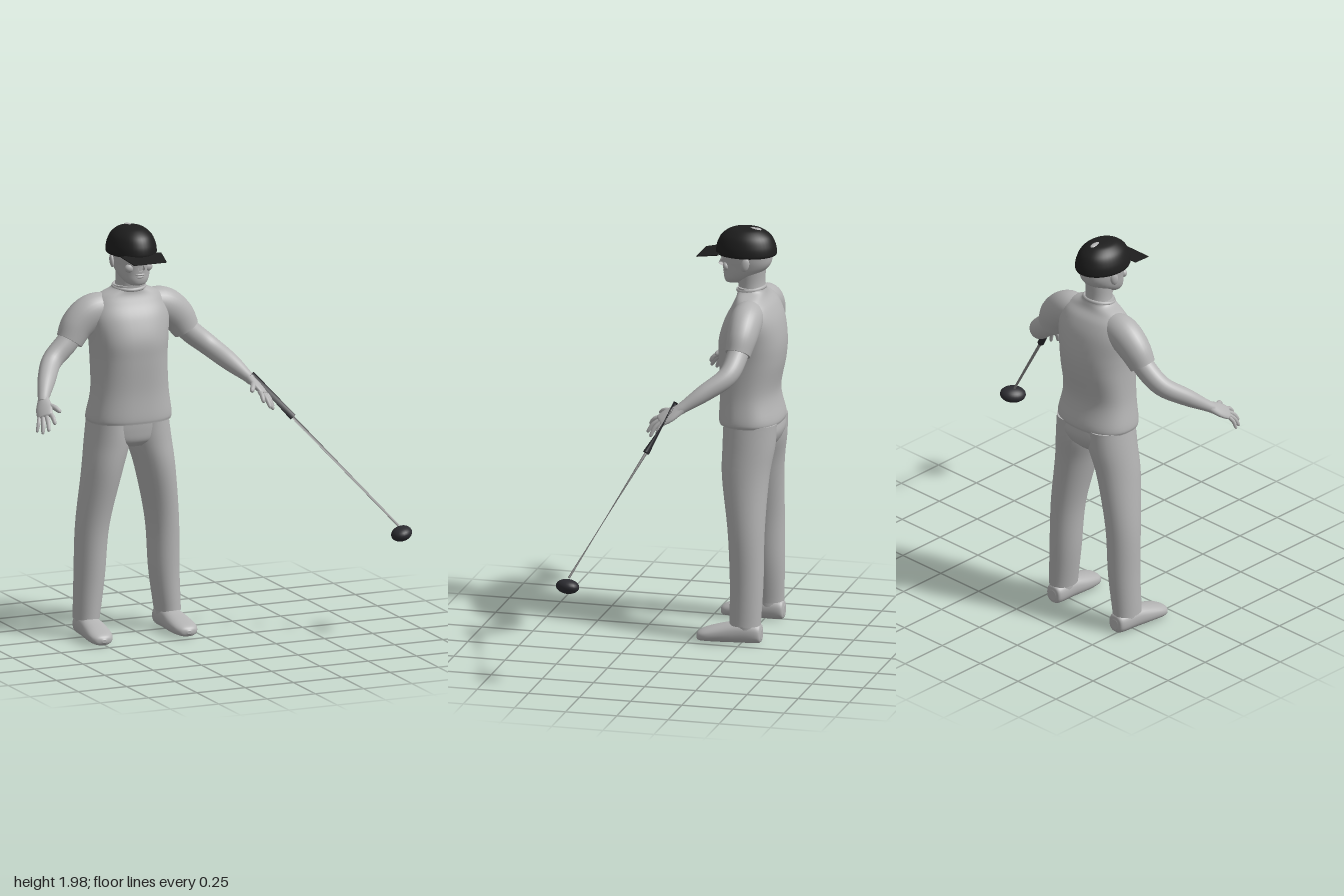
import * as THREE from 'three';

const mat = (name, color) => {
  const m = new THREE.MeshStandardMaterial({ color });
  m.name = name;
  return m;
};
const V = (a) => new THREE.Vector3(a[0], a[1], a[2]);

// Smooth loft through sections [x, y, z, radiusA, radiusB].
// ref is the direction of radiusA; axis fixes the ring normal (else the path tangent is used);
// e below 1 makes the rings boxier.
function loft(sections, { ref = [1, 0, 0], axis = null, e = 1, sides = 28, steps = 6 } = {}) {
  const path = new THREE.CatmullRomCurve3(sections.map(V), false, 'catmullrom');
  const radii = new THREE.CatmullRomCurve3(
    sections.map((s) => new THREE.Vector3(s[3], s[4], 0)), false, 'catmullrom');
  const n = (sections.length - 1) * steps;
  const pos = [], idx = [];
  const bend = (v) => Math.sign(v) * Math.abs(v) ** e;
  const ring = (t) => {
    const c = path.getPoint(t), r = radii.getPoint(t);
    const T = axis ? V(axis) : path.getTangent(t);
    const A = V(ref).addScaledVector(T, -V(ref).dot(T)).normalize();
    const B = A.clone().cross(T);
    for (let i = 0; i < sides; i++) {
      const a = (i / sides) * Math.PI * 2;
      const p = c.clone().addScaledVector(A, r.x * bend(Math.cos(a)))
        .addScaledVector(B, r.y * bend(Math.sin(a)));
      pos.push(p.x, p.y, p.z);
    }
    return c;
  };
  for (let j = 0; j <= n; j++) ring(j / n);
  for (let j = 0; j < n; j++) for (let i = 0; i < sides; i++) {
    const a = j * sides + i, b = j * sides + (i + 1) % sides;
    idx.push(a, a + sides, b, b, a + sides, b + sides);
  }
  // flat end caps with their own vertices
  for (const t of [0, 1]) {
    const first = pos.length / 3, c = ring(t), centre = pos.length / 3;
    pos.push(c.x, c.y, c.z);
    for (let i = 0; i < sides; i++) {
      const a = first + i, b = first + (i + 1) % sides;
      if (t) idx.push(centre, b, a); else idx.push(centre, a, b);
    }
  }
  const g = new THREE.BufferGeometry();
  g.setAttribute('position', new THREE.Float32BufferAttribute(pos, 3));
  g.setIndex(idx);
  g.computeVertexNormals();
  return g;
}

export function createModel() {
  const root = new THREE.Group();
  root.name = 'golfer';
  const figure = new THREE.Group();
  figure.name = 'figure';
  figure.position.x = -0.29;
  root.add(figure);

  const clay = mat('pale grey', 0xb4b4b4);
  const black = mat('cap black', 0x1e1e1e);
  const dark = mat('club dark grey', 0x2c2c31);
  const steel = mat('shaft grey', 0x8e8e8e);

  const add = (name, geo, material = clay, parent = figure) => {
    const m = new THREE.Mesh(geo, material);
    m.name = name;
    parent.add(m);
    return m;
  };
  const blob = (name, p, r, material = clay, parent = figure) => {
    const m = add(name, new THREE.SphereGeometry(1, 24, 16), material, parent);
    m.position.set(...p);
    m.scale.set(...r);
    return m;
  };
  const up = { axis: [0, 1, 0] };
  // centred upright sections given as [y, z, radiusX, radiusZ]
  const upright = (rows, opt = {}) =>
    loft(rows.map(([y, z, a, b]) => [0, y, z, a, b]), { ...up, sides: 40, ...opt });

  // shirt
  add('shirt', upright([
    [1.05, -0.245, 0.203, 0.147], [1.08, -0.245, 0.207, 0.15], [1.2, -0.235, 0.188, 0.136],
    [1.35, -0.245, 0.184, 0.153], [1.45, -0.248, 0.19, 0.156], [1.55, -0.255, 0.2, 0.133],
    [1.62, -0.258, 0.185, 0.1], [1.66, -0.25, 0.15, 0.074], [1.688, -0.245, 0.088, 0.066],
    [1.705, -0.242, 0.078, 0.064]], { e: 0.85 }));
  const collar = add('collar', new THREE.TorusGeometry(0.076, 0.009, 8, 40));
  collar.rotation.x = Math.PI / 2 + 0.15;
  collar.scale.y = 0.86;
  collar.position.set(0, 1.695, -0.24);

  // trousers top
  add('pelvis', upright([
    [0.93, -0.255, 0.1, 0.09], [0.96, -0.256, 0.17, 0.118],
    [1.01, -0.262, 0.199, 0.132], [1.07, -0.258, 0.197, 0.13]], { e: 0.9 }));

  // neck and head
  add('neck', upright([
    [1.65, -0.25, 0.075, 0.065], [1.72, -0.24, 0.064, 0.064], [1.8, -0.235, 0.066, 0.075]]));
  add('head', upright([
    [1.716, -0.15, 0.018, 0.018], [1.724, -0.155, 0.042, 0.04], [1.745, -0.175, 0.063, 0.067],
    [1.775, -0.2, 0.077, 0.093], [1.81, -0.216, 0.085, 0.112], [1.85, -0.22, 0.091, 0.12],
    [1.91, -0.22, 0.092, 0.12], [1.96, -0.22, 0.06, 0.08]], { e: 0.93 }));
  add('nose', loft([
    [0, 1.85, -0.108, 0.009, 0.01], [0, 1.82, -0.1, 0.012, 0.014],
    [0, 1.803, -0.094, 0.017, 0.015], [0, 1.793, -0.104, 0.012, 0.009]], { ...up, sides: 14 }));
  blob('upperLip', [0, 1.773, -0.113], [0.026, 0.006, 0.011]);
  blob('lowerLip', [0, 1.761, -0.115], [0.022, 0.007, 0.011]);
  blob('chin', [0, 1.735, -0.13], [0.028, 0.016, 0.018]);

  // cap
  add('cap', upright([
    [1.862, -0.215, 0.113, 0.143], [1.875, -0.215, 0.116, 0.146], [1.91, -0.215, 0.111, 0.14],
    [1.95, -0.215, 0.094, 0.12], [1.978, -0.215, 0.064, 0.082], [1.988, -0.215, 0.035, 0.045],
    [1.99, -0.215, 0.004, 0.005]]), black);
  blob('crownPatch', [0.005, 1.982, -0.255], [0.017, 0.009, 0.035]);
  const brim = new THREE.BoxGeometry(0.21, 0.004, 0.11);
  const bp = brim.attributes.position;
  for (let i = 0; i < bp.count; i++) {
    const f = bp.getZ(i) / 0.11 + 0.5;
    bp.setX(i, bp.getX(i) * (1 - 0.2 * f));
    bp.setY(i, bp.getY(i) - 0.02 * f);
  }
  brim.computeVertexNormals();
  add('capBrim', brim, black).position.set(0, 1.871, -0.048);

  // paired parts
  for (const s of [1, -1]) {
    const side = new THREE.Group();
    side.name = s > 0 ? 'leftSide' : 'rightSide';
    figure.add(side);
    const flip = (rows) => rows.map(([x, ...rest]) => [x * s, ...rest]);
    const part = (name, rows, opt) => add(name, loft(flip(rows), opt), clay, side);

    part('trouserLeg', [
      [0.21, 0.1, -0.265, 0.062, 0.075], [0.193, 0.3, -0.268, 0.073, 0.08],
      [0.18, 0.545, -0.262, 0.08, 0.088], [0.138, 0.8, -0.248, 0.094, 0.113],
      [0.107, 0.95, -0.256, 0.106, 0.126], [0.1, 1.06, -0.26, 0.098, 0.128]], up);
    part('shoe', [
      [0.205, 0.055, -0.346, 0.02, 0.025], [0.206, 0.06, -0.33, 0.045, 0.047],
      [0.21, 0.063, -0.24, 0.054, 0.052], [0.213, 0.053, -0.15, 0.062, 0.043],
      [0.218, 0.043, -0.08, 0.06, 0.032], [0.22, 0.036, -0.045, 0.042, 0.023],
      [0.22, 0.034, -0.032, 0.01, 0.008]], { axis: [0, 0, 1], e: 0.85 });
    part('ankle', [
      [0.208, 0.06, -0.27, 0.05, 0.06], [0.208, 0.13, -0.268, 0.05, 0.06]], up);

    const limb = { ref: [0, 0, 1] };
    part('sleeve', [
      [0.09, 1.59, -0.26, 0.07, 0.075], [0.18, 1.58, -0.262, 0.078, 0.086],
      [0.255, 1.525, -0.262, 0.072, 0.082], [0.302, 1.452, -0.254, 0.06, 0.067]], limb);
    part('arm', [
      [0.26, 1.51, -0.258, 0.05, 0.052], [0.32, 1.44, -0.253, 0.05, 0.054],
      [0.405, 1.368, -0.228, 0.046, 0.05], [0.475, 1.3, -0.135, 0.04, 0.044],
      [0.525, 1.245, -0.055, 0.028, 0.028], [0.54, 1.225, -0.025, 0.026, 0.024]], limb);

    // hand
    const ref = [-0.07 * s, 0.04, 0.05];
    part('palm', [
      [0.532, 1.238, -0.045, 0.026, 0.022], [0.552, 1.205, 0.01, 0.042, 0.018],
      [0.565, 1.18, 0.05, 0.038, 0.013], [0.568, 1.175, 0.058, 0.03, 0.006]], { ref, sides: 18 });
    const finger = (name, [a, b, c], [x, y, z], r) => part(name, [
      [a, b, c, r, r], [(a + x) / 2, (b + y) / 2 + 0.006, (c + z) / 2 + 0.004, r, r],
      [x * 0.9 + a * 0.1, y * 0.9 + b * 0.1, z * 0.9 + c * 0.1, r * 0.8, r * 0.8],
      [x, y, z, r * 0.25, r * 0.25]], { ref, sides: 10, steps: 4 });
    finger('indexFinger', [0.542, 1.192, 0.055], [0.54, 1.15, 0.112], 0.011);
    finger('middleFinger', [0.558, 1.183, 0.05], [0.574, 1.12, 0.116], 0.011);
    finger('ringFinger', [0.573, 1.174, 0.045], [0.597, 1.105, 0.096], 0.0105);
    finger('littleFinger', [0.588, 1.17, 0.034], [0.612, 1.108, 0.062], 0.009);
    finger('thumb', [0.535, 1.22, 0.0], [0.495, 1.198, 0.075], 0.013);

    // face details
    const ear = blob('ear', [0.092 * s, 1.828, -0.232], [0.012, 0.034, 0.02], clay, side);
    ear.rotation.set(-0.2, 0.3 * s, 0);
    blob('brow', [0.036 * s, 1.858, -0.113], [0.032, 0.009, 0.012], clay, side);
    blob('cheek', [0.045 * s, 1.805, -0.13], [0.026, 0.022, 0.018], clay, side);
  }

  // golf club
  const club = new THREE.Group();
  club.name = 'golfClub';
  root.add(club);
  const rod = (name, a, b, r0, r1, material) => add(name,
    loft([[...a, r0, r0], [...b, r1, r1]], { sides: 14, steps: 1 }), material, club);
  rod('grip', [0.245, 1.262, -0.015], [0.412, 1.056, 0.085], 0.012, 0.016, dark);
  rod('shaft', [0.4, 1.07, 0.078], [0.84, 0.545, 0.345], 0.0075, 0.0055, steel);
  blob('clubHead', [0.855, 0.506, 0.348], [0.05, 0.035, 0.062], dark, club)
    .rotation.set(0.1, -0.6, 0.25);

  return root;
}
